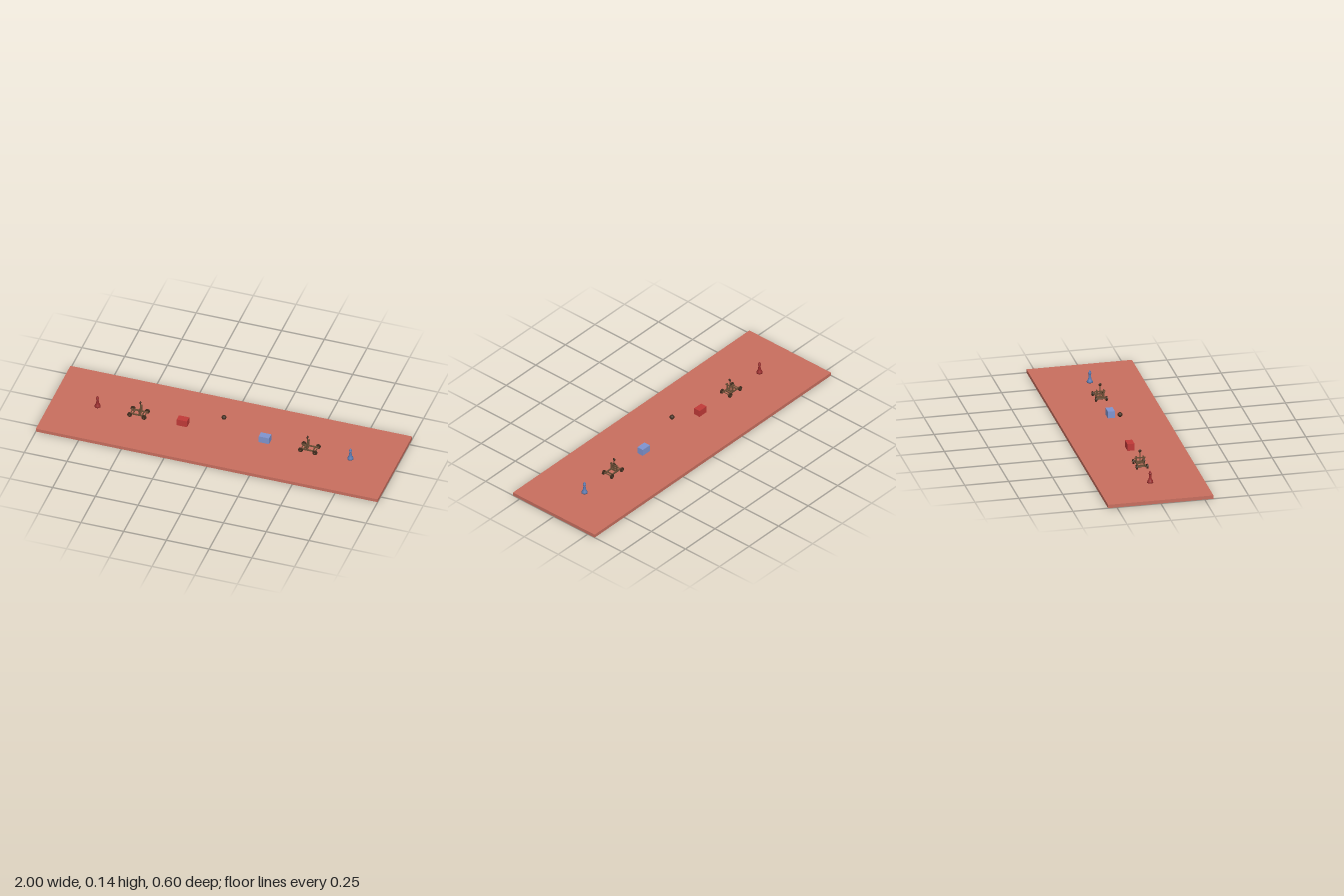
import * as THREE from 'three';

const mat = (name, color) => {
  const m = new THREE.MeshStandardMaterial({ color });
  m.name = name;
  return m;
};

export function createModel() {
  const clay = mat('clay', 0xc96f5f);
  const red = mat('red', 0xc23a38);
  const blue = mat('blue', 0x8095d0);
  const darkRed = mat('darkRed', 0x982c2c);
  const steelBlue = mat('steelBlue', 0x5c7ab0);
  const wood = mat('wood', 0x6b4e36);
  const darkWood = mat('darkWood', 0x422d1f);

  const model = new THREE.Group();
  model.name = 'catapultGame';
  const add = (parent, name, geometry, material, x, y, z) => {
    const mesh = new THREE.Mesh(geometry, material);
    mesh.name = name;
    mesh.position.set(x, y, z);
    parent.add(mesh);
    return mesh;
  };
  const box = (w, h, d) => new THREE.BoxGeometry(w, h, d);
  const top = 0.02;

  // Ground board and the ball hovering over its centre
  add(model, 'board', box(2, top, 0.6), clay, 0, top / 2, 0);
  add(model, 'ball', new THREE.SphereGeometry(0.0135, 24, 16), darkWood, 0, 0.127, 0);

  // Turned playing piece, profile as radius and height
  const profile = [
    [0, 0], [0.017, 0], [0.017, 0.005], [0.015, 0.008], [0.015, 0.012], [0.011, 0.016],
    [0.008, 0.028], [0.006, 0.046], [0.006, 0.051], [0.009, 0.054], [0.009, 0.057],
    [0.005, 0.060], [0.006, 0.064], [0.004, 0.069], [0, 0.072],
  ].map(([r, y]) => new THREE.Vector2(r, y));
  const pieceGeometry = new THREE.LatheGeometry(profile, 20);

  // Catapult; the throwing end leans towards -x
  const wheelGeometry = new THREE.CylinderGeometry(0.0135, 0.0135, 0.008, 16).rotateX(Math.PI / 2);
  const axleGeometry = new THREE.CylinderGeometry(0.003, 0.003, 0.078, 10).rotateX(Math.PI / 2);
  const armGeometry = new THREE.CylinderGeometry(0.0025, 0.003, 0.07, 10);
  const makeCatapult = () => {
    const g = new THREE.Group();
    g.name = 'catapult';
    const armX = -0.011;
    for (const s of [-1, 1]) {
      add(g, 'sideRail', box(0.098, 0.008, 0.006), wood, 0, 0.036, s * 0.02);
      add(g, 'post', box(0.006, 0.043, 0.007), wood, armX, 0.0565, s * 0.02);
      add(g, 'crossBeam', box(0.006, 0.007, 0.04), wood, s * 0.027, 0.036, 0);
      add(g, 'axle', axleGeometry, wood, s * 0.042, 0.0345, 0);
      for (const t of [-1, 1]) {
        add(g, 'wheel', wheelGeometry, darkWood, s * 0.042, 0.0345, t * 0.03);
      }
    }
    add(g, 'topBar', box(0.006, 0.006, 0.06), wood, armX, 0.067, 0);
    add(g, 'throwingArm', armGeometry, wood, armX, 0.068, 0);
    add(g, 'armPivot', box(0.008, 0.008, 0.04), wood, armX, 0.036, 0);
    add(g, 'armHead', new THREE.SphereGeometry(0.009, 16, 12), darkWood, armX, 0.108, 0)
      .scale.x = 0.45;
    return g;
  };

  // Two opposing teams facing each other
  for (const s of [-1, 1]) {
    const side = s < 0 ? 'red' : 'blue';
    add(model, side + 'Piece', pieceGeometry, s < 0 ? darkRed : steelBlue, s * 0.74, top, 0);
    add(model, side + 'Block', box(0.06, 0.04, 0.04), s < 0 ? red : blue, s * 0.24, top + 0.02, 0);
    const catapult = makeCatapult();
    catapult.position.x = s * 0.5;
    if (s < 0) catapult.rotation.y = Math.PI;
    model.add(catapult);
  }
  return model;
}
